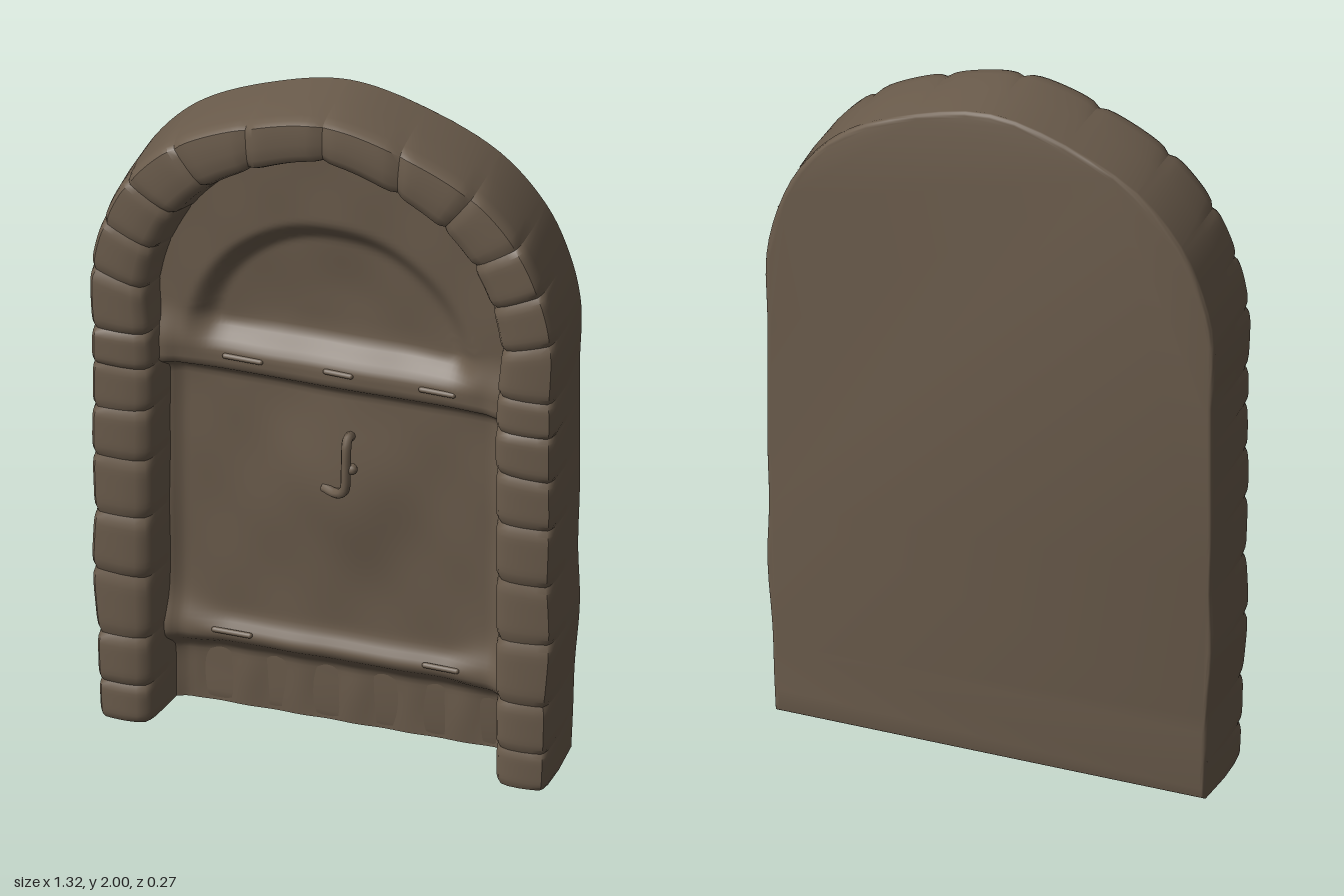
import * as THREE from 'three';
import { toCreasedNormals } from 'three/addons/utils/BufferGeometryUtils.js';

// Joints between the stones, foot to crown: outer x, y, inner x, y
const JOINTS = [
  [0.63, 0.005, 0.485, 0.005], [0.635, 0.12, 0.485, 0.12], [0.64, 0.27, 0.485, 0.27], [0.655, 0.47, 0.485, 0.46],
  [0.65, 0.65, 0.485, 0.65], [0.655, 0.83, 0.485, 0.83], [0.655, 0.98, 0.485, 0.99], [0.655, 1.12, 0.485, 1.12],
  [0.655, 1.23, 0.49, 1.23], [0.658, 1.42, 0.5, 1.37], [0.625, 1.57, 0.475, 1.5], [0.56, 1.71, 0.42, 1.62],
  [0.43, 1.85, 0.335, 1.72], [0.22, 1.952, 0.21, 1.80], [0, 2.0, 0, 1.865],
];
const path = [...JOINTS, ...JOINTS.slice(0, -1).reverse().map(([a, b, c, d]) => [-a, b, -c, d])];
const curve = (k) => new THREE.CatmullRomCurve3(path.map((p) => new THREE.Vector3(p[k], p[k + 1], 0)));
const outer = curve(0), inner = curve(2);
const COUNT = path.length - 1;

// Stone cross-section: across the wall (0 inner, 1 outer), depth
const SECTION = [
  [0.97, -0.122], [1, 0], [1, 0.085], [0.985, 0.112], [0.93, 0.126], [0.75, 0.13], [0.5, 0.132],
  [0.25, 0.13], [0.08, 0.122], [0.01, 0.105], [-0.02, 0.08], [-0.1, 0], [-0.2, -0.1],
];

let seed = 7;
const rand = () => ((seed = (seed * 16807) % 2147483647) / 2147483647);

const smooth = THREE.MathUtils.smoothstep;
const bell = (v, centre, width) => Math.exp(-(((v - centre) / width) ** 2));

// One block of the arch, swept between two joints and pinched at its ends
function stoneGeometry(i) {
  const steps = 10, n = SECTION.length, pos = [], index = [];
  const swell = (rand() - 0.5) * 0.006, tilt = (rand() - 0.5) * 0.008;
  for (let s = 0; s <= steps; s++) {
    const t = (i + s / steps) / COUNT;
    const a = inner.getPoint(t), b = outer.getPoint(t);
    const pinch = Math.abs((2 * s) / steps - 1) ** 6;
    const splay = 1 + smooth(a.y, 1.3, 1.6);
    for (const [w, z] of SECTION) {
      const front = smooth(z, 0.04, 0.125);
      const across = (w < 0 ? w * splay : w) - front * pinch * 0.05 * (w - 0.5) * 2;
      const p = a.clone().lerp(b, across);
      const bump = (1 - pinch) * (swell + tilt * (w - 0.5)) - pinch * 0.009;
      pos.push(p.x, Math.max(p.y, 0), Math.min(z + front * bump, 0.133));
    }
  }
  for (let s = 0; s < steps; s++) {
    for (let k = 0; k < n - 1; k++) {
      const a = s * n + k, b = a + n;
      index.push(a, b, a + 1, b, b + 1, a + 1);
    }
  }
  // end caps close the feet
  const last = steps * n;
  for (let k = 1; k < n - 1; k++) index.push(0, k, k + 1, last, last + k + 1, last + k);
  const g = new THREE.BufferGeometry();
  g.setAttribute('position', new THREE.Float32BufferAttribute(pos, 3));
  g.setIndex(index);
  return toCreasedNormals(g, 0.8);
}

// Back wall with a softened rear edge
function backGeometry() {
  const bevel = 0.014, pts = [];
  for (let i = 0; i <= 84; i++) {
    const p = outer.getPoint(i / 84);
    pts.push(new THREE.Vector2(p.x * 0.992, Math.max(p.y - 0.005, 0.005)));
  }
  const g = new THREE.ExtrudeGeometry(new THREE.Shape(pts), {
    depth: 0.05, bevelEnabled: true, bevelThickness: bevel, bevelSize: bevel, bevelOffset: -bevel, bevelSegments: 4,
  });
  g.translate(0, 0, -0.134 + bevel);
  return toCreasedNormals(g, 0.8);
}

// Half width of the opening at a given height
function openingHalfWidth(y) {
  if (y < 1.3) return 0.5;
  for (let j = 9; j < JOINTS.length; j++) {
    const [, , x0, y0] = JOINTS[j - 1], [, , x1, y1] = JOINTS[j];
    if (y <= y1) return x0 + ((x1 - x0) * (y - y0)) / (y1 - y0) + 0.015;
  }
  return 0.01;
}

// Relief of the door: sill, two straps, swelling leaf, arched tympanum
function doorDepth(x, y) {
  const ax = Math.abs(x);
  const flare = smooth(ax, 0.3, 0.46);
  let z = -0.055 + 0.04 * smooth(y, 0.17, 0.24);
  z += 0.03 * bell(y, 0.26, 0.035 + 0.035 * flare);
  // leaf swells around the handle
  z += 0.035 * bell(y, 0.78, 0.22) * bell(x, 0.02, 0.18);
  // upper strap, a ledge widening at both ends
  z += 0.055 * smooth(y, 1.07, 1.13) * (1 - smooth(y, 1.17, 1.25 + 0.05 * flare));
  z += 0.01 * flare * bell(y, 1.15, 0.07);
  // hollow with an arched rim above the strap
  const r = Math.hypot(x / 0.42, (y - 1.2) / 0.43);
  if (y > 1.15) {
    const rise = smooth(y, 1.15, 1.3);
    z += rise * (0.045 * smooth(r, 0.8, 1.0) - 0.012 * (1 - smooth(r, 0.4, 0.9)));
  }
  // slightly uneven carving
  z += 0.002 * Math.sin(x * 23 + y * 5) * Math.sin(y * 17) + 0.004 * Math.sin(x * 41) * bell(y, 0.1, 0.1);
  // soft fillet against the jambs below the springing line
  return z + 0.02 * smooth(ax, 0.43, 0.48) * (1 - smooth(y, 1.0, 1.3));
}

function doorGeometry() {
  const g = new THREE.PlaneGeometry(2, 1.87, 70, 130);
  const p = g.attributes.position;
  for (let i = 0; i < p.count; i++) {
    const y = p.getY(i) + 0.94;
    const x = p.getX(i) * openingHalfWidth(y);
    p.setXYZ(i, x, y, doorDepth(x, y));
  }
  g.computeVertexNormals();
  return g;
}

export function createModel() {
  const model = new THREE.Group();
  model.name = 'archedDoorway';
  const stone = new THREE.MeshStandardMaterial({ color: 0x6b5c4c });
  stone.name = 'brown stone';
  const add = (name, geometry, parent = model) => {
    const mesh = new THREE.Mesh(geometry, stone);
    mesh.name = name;
    parent.add(mesh);
    return mesh;
  };

  add('backWall', backGeometry());
  add('door', doorGeometry());

  // Ring of stones
  const arch = new THREE.Group();
  arch.name = 'stoneArch';
  model.add(arch);
  for (let i = 0; i < COUNT; i++) add('archStone', stoneGeometry(i), arch);

  // Sill underside closing the door against the back wall
  const sill = add('sill', new THREE.BoxGeometry(0.98, 0.02, 0.05));
  sill.position.set(0, 0.018, -0.083);

  // Worn hinge ridges on the straps
  for (const [x, y, len] of [[-0.25, 1.16, 0.1], [0.02, 1.165, 0.07], [0.3, 1.16, 0.09], [-0.29, 0.27, 0.1], [0.3, 0.27, 0.09]]) {
    const ridge = add('hingeRidge', new THREE.CapsuleGeometry(0.008, len, 4, 8));
    ridge.rotation.z = Math.PI / 2 + (rand() - 0.5) * 0.15;
    ridge.position.set(x, y, doorDepth(x, y) + 0.001);
  }

  // Pull handle with its catch
  const V = (x, y, z) => new THREE.Vector3(x, y, z);
  const bar = new THREE.CatmullRomCurve3([
    V(0.043, 0.95, 0.0), V(0.043, 0.955, 0.035), V(0.043, 0.87, 0.047), V(0.037, 0.8, 0.045), V(0.01, 0.78, 0.032), V(-0.03, 0.78, 0.012),
  ]);
  add('handle', new THREE.TubeGeometry(bar, 24, 0.014, 8));
  const catchKnob = add('handleCatch', new THREE.SphereGeometry(0.016, 10, 8));
  catchKnob.position.set(0.058, 0.87, 0.04);
  return model;
}
